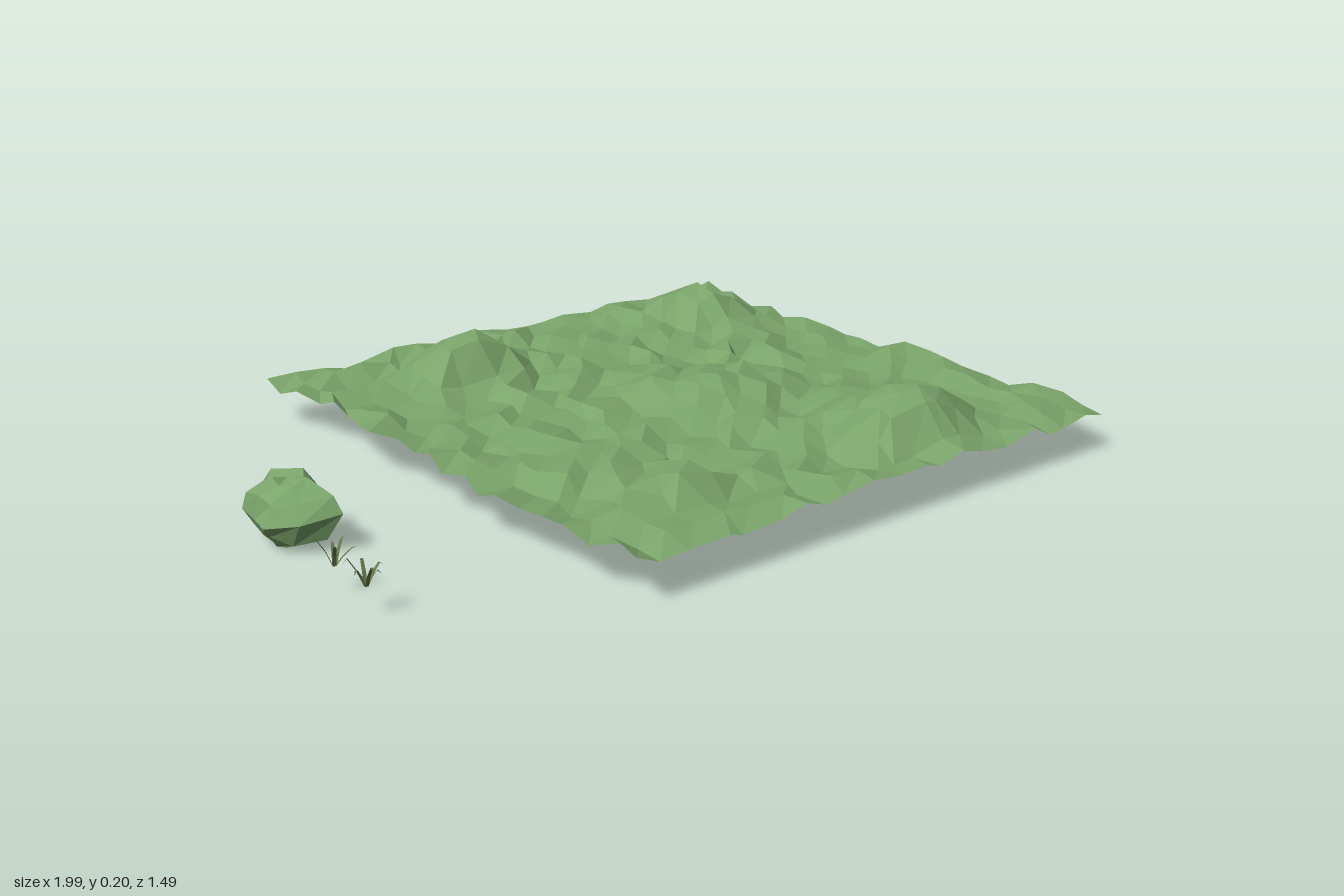
import * as THREE from 'three';

// Seeded random in the range -1..1
function makeRandom(seed) {
  return () => {
    seed = (seed * 16807) % 2147483647;
    return (seed / 2147483647) * 2 - 1;
  };
}

const green = () => new THREE.MeshStandardMaterial({ color: 0x7ba56b, flatShading: true, side: THREE.DoubleSide });

// Hills: centre x, centre z, height, radius west, east, back, front
const HILLS = [
  [-0.05, -0.50, 0.092, 0.28, 0.18, 0.22, 0.18],
  [0.72, -0.50, 0.095, 0.16, 0.18, 0.22, 0.18],
  [0.47, 0.57, 0.100, 0.20, 0.27, 0.33, 0.13],
  [0.28, 0.04, 0.050, 0.24, 0.38, 0.24, 0.24],
  [-0.22, 0.50, 0.045, 0.16, 0.18, 0.20, 0.12],
  [0.24, 0.32, 0.030, 0.12, 0.14, 0.12, 0.12],
];

function hillHeight(x, z) {
  let y = 0;
  for (const [cx, cz, h, w, e, b, f] of HILLS) {
    const d = Math.hypot((x - cx) / (x < cx ? w : e), (z - cz) / (z < cz ? b : f));
    y = Math.max(y, h * (1 - THREE.MathUtils.smoothstep(d, 0.15, 1)));
  }
  return y;
}

// Offsets of the wavy side borders, in hundredths, from back to front
const WEST = [0, -0.5, 0, 2.5, 2, 1.5, 0, -2, 1, 1, 0, -1.5, -0.5, -2.5, -3, -2, -1.5, -2, -1, 1, -1];
const EAST = [2.5, 1.5, -1.5, -0.5, 0.5, -2, -0.5, 2, 0.5, -1, -1.5, 0.5, 2.5, -1, -2, 0.5, -1, -1, 1.5, 0.5, -2];

function makeGround() {
  const n = 20, random = makeRandom(4711);
  const geo = new THREE.PlaneGeometry(1.488, 1.49, n, n).rotateX(-Math.PI / 2).translate(0.224, 0, -0.003);
  const p = geo.attributes.position;
  for (let i = 0; i < p.count; i++) {
    const col = i % (n + 1), row = Math.floor(i / (n + 1));
    const x = p.getX(i), z = p.getZ(i);
    const shift = random() * 0.027, bump = random() * 0.017;
    p.setX(i, x + (col === 0 ? WEST[row] / 100 : col === n ? EAST[row] / 100 : shift));
    p.setY(i, 0.1 + bump + hillHeight(x, z));
  }
  geo.computeVertexNormals();
  const mesh = new THREE.Mesh(geo, green());
  mesh.name = 'ground';
  return mesh;
}

// Rock: one irregular outline, scaled and jittered at several heights
function makeRock() {
  const random = makeRandom(97);
  const outline = [[-0.9, -0.13], [-0.86, -0.075], [-0.79, -0.01], [-0.81, 0.06], [-0.83, 0.135],
    [-0.92, 0.105], [-0.98, 0.06], [-0.968, 0], [-0.96, -0.07]];
  const rings = [[0.006, 0.25, -0.02], [0.03, 0.68, -0.01], [0.08, 1, 0], [0.12, 0.8, 0], [0.148, 0.4, 0]];
  const n = outline.length, cx = -0.885, cz = 0.005, pos = [], index = [];
  for (const [y, s, dx] of rings) {
    for (const [x, z] of outline) {
      const k = s === 1 ? 1 : s * (1 + random() * 0.14);
      pos.push(cx + dx + (x - cx) * k, y + random() * (y < 0.01 ? 0.004 : 0.012), cz + (z - cz) * k);
    }
  }
  const bottom = pos.length / 3, top = bottom + 1;
  pos.push(-0.91, 0, 0.03, -0.885, 0.148, 0);
  for (let r = 0; r < rings.length - 1; r++) {
    for (let i = 0; i < n; i++) {
      const a = r * n + i, b = r * n + (i + 1) % n;
      index.push(a, a + n, b, b, a + n, b + n);
    }
  }
  for (let i = 0; i < n; i++) {
    const j = (i + 1) % n, t = (rings.length - 1) * n;
    index.push(bottom, i, j, top, t + j, t + i);
  }
  const geo = new THREE.BufferGeometry();
  geo.setAttribute('position', new THREE.Float32BufferAttribute(pos, 3));
  geo.setIndex(index);
  geo.computeVertexNormals();
  const mesh = new THREE.Mesh(geo, green());
  mesh.name = 'rock';
  return mesh;
}

// Grass tuft: thin blades that splay out from one root and droop at the tip
function makeTuft(x, z, blades, bend) {
  const tuft = new THREE.Group();
  const material = new THREE.MeshStandardMaterial({ color: 0x66754a, flatShading: true, side: THREE.DoubleSide });
  blades.forEach(([angle, reach, height]) => {
    const w = 0.004;
    const spine = [[0.003, 0, w], [reach * 0.4, height * 0.55, w], [reach * 0.8, height, w * 0.8], [reach, height * (1 - bend), 0.0005]];
    const geo = new THREE.PlaneGeometry(1, 1, 1, spine.length - 1);
    spine.forEach(([r, y, half], i) => {
      geo.attributes.position.setXYZ(i * 2, r, y, -half);
      geo.attributes.position.setXYZ(i * 2 + 1, r, y, half);
    });
    geo.computeVertexNormals();
    const blade = new THREE.Mesh(geo, material);
    blade.name = 'grassBlade';
    blade.rotation.y = THREE.MathUtils.degToRad(angle);
    tuft.add(blade);
  });
  tuft.position.set(x, 0.065, z);
  tuft.name = 'grassTuft';
  return tuft;
}

export function createModel() {
  const model = new THREE.Group();
  model.name = 'terrainSet';
  model.add(makeGround(), makeRock());
  model.add(makeTuft(-0.955, 0.305, [[30, 0.04, 0.045], [-25, 0.045, 0.035], [150, 0.042, 0.058], [245, 0.034, 0.05], [65, 0.025, 0.04]], -0.1));
  model.add(makeTuft(-0.958, 0.43, [[10, 0.045, 0.04], [75, 0.03, 0.05], [145, 0.044, 0.06], [200, 0.035, 0.045], [265, 0.036, 0.05], [320, 0.03, 0.035]], 0.2));
  return model;
}
